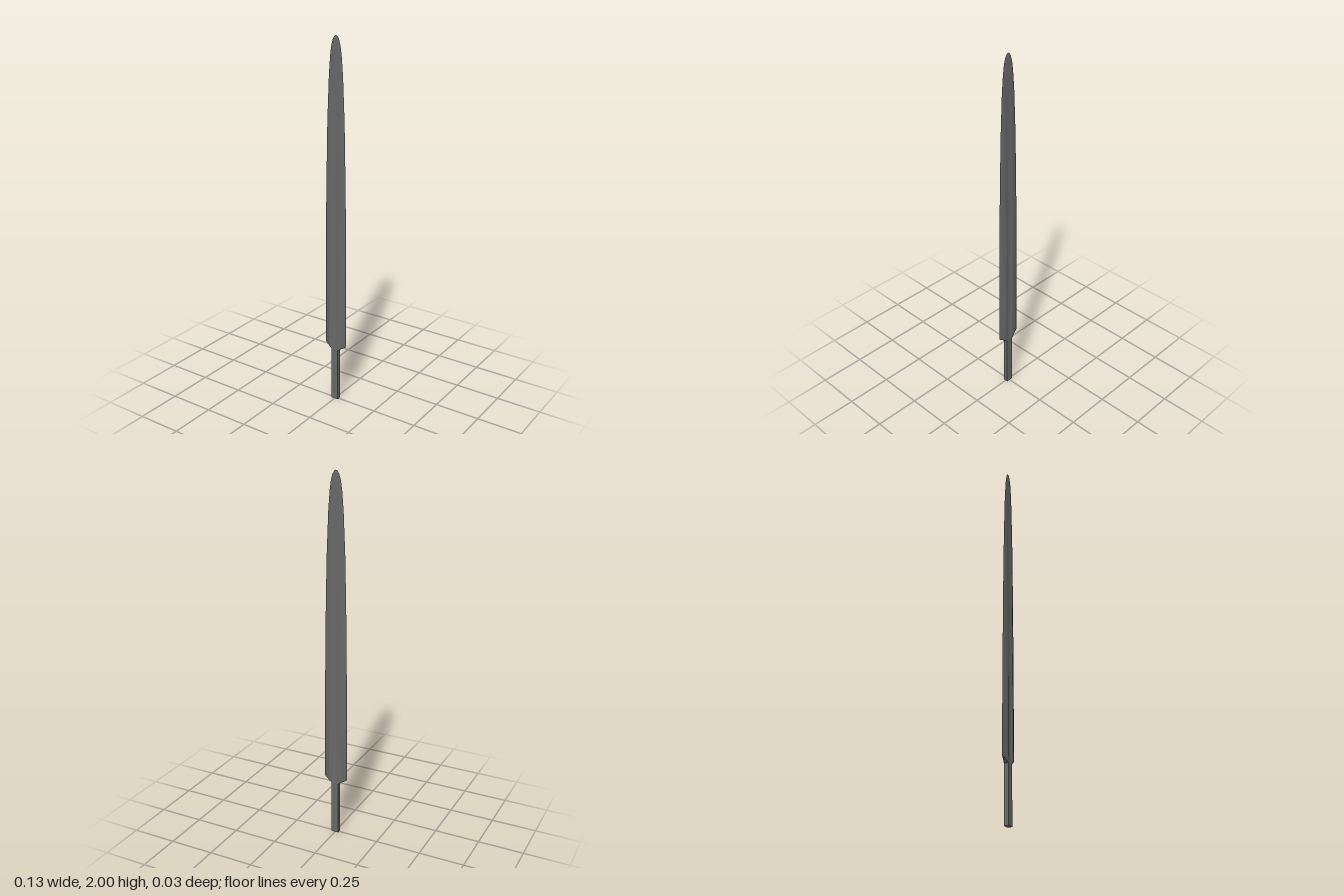
import * as THREE from 'three';
import { toCreasedNormals } from 'three/addons/utils/BufferGeometryUtils.js';

const TANG_HALF = 0.02, TANG_TOP = 0.305, TANG_DEPTH = 0.0125;

// One horizontal section: pointed edges, flat shoulders and a hollow central fuller
function section({ y, w, shoulder, groove, t, depth }) {
  const front = [[-w, 0], [-shoulder, t]];
  for (let i = -3; i <= 3; i++) {
    const u = i / 3;
    front.push([u * groove, t - depth * (1 - u * u)]);
  }
  front.push([shoulder, t]);
  const back = front.map(([x, z]) => [-x, -z]);
  return [...front, ...back].map(([x, z]) => [x, y, z]);
}

// Skin between sections, with each quad split from its inner lower corner
function loft(rings) {
  const pos = [];
  const n = rings[0].length;
  for (let r = 0; r < rings.length - 1; r++) {
    for (let j = 0; j < n; j++) {
      const k = (j + 1) % n;
      const a = rings[r][j], b = rings[r][k], c = rings[r + 1][k], d = rings[r + 1][j];
      const tris = Math.abs(d[0]) < Math.abs(c[0]) ? [a, b, c, a, c, d] : [a, b, d, b, c, d];
      tris.forEach(p => pos.push(...p));
    }
  }
  const geometry = new THREE.BufferGeometry();
  geometry.setAttribute('position', new THREE.Float32BufferAttribute(pos, 3));
  return toCreasedNormals(geometry, 0.3);
}

export function createModel() {
  const model = new THREE.Group();
  model.name = 'swordBlade';
  const steel = new THREE.MeshStandardMaterial({ color: 0x686868 });
  steel.name = 'dark steel';

  // Blade outline: height, half width, half thickness
  const outline = [
    [0.335, 0.067, 0.0125], [0.75, 0.065, 0.0105], [1.2, 0.06, 0.008], [1.57, 0.052, 0.0055],
    [1.8, 0.042, 0.0035], [1.9, 0.034, 0.0027], [1.95, 0.027, 0.0022], [1.98, 0.018, 0.0017],
    [1.995, 0.009, 0.0012], [2, 0, 0],
  ];
  const rings = outline.map(([y, w, t]) => section({
    y, w, t, shoulder: w * 0.56, groove: w * 0.3, depth: y < 1.9 ? t * 0.4 : 0,
  }));
  // Sloping shoulders that gather into the tang
  rings.unshift(section({
    y: TANG_TOP, w: TANG_HALF, shoulder: TANG_HALF, groove: TANG_HALF * 0.95, t: TANG_DEPTH, depth: 0,
  }));
  const blade = new THREE.Mesh(loft(rings), steel);
  blade.name = 'blade';
  model.add(blade);

  // Tang
  const tang = new THREE.Mesh(new THREE.BoxGeometry(TANG_HALF * 2, TANG_TOP, TANG_DEPTH * 2), steel);
  tang.name = 'tang';
  tang.position.y = TANG_TOP / 2;
  model.add(tang);

  return model;
}
